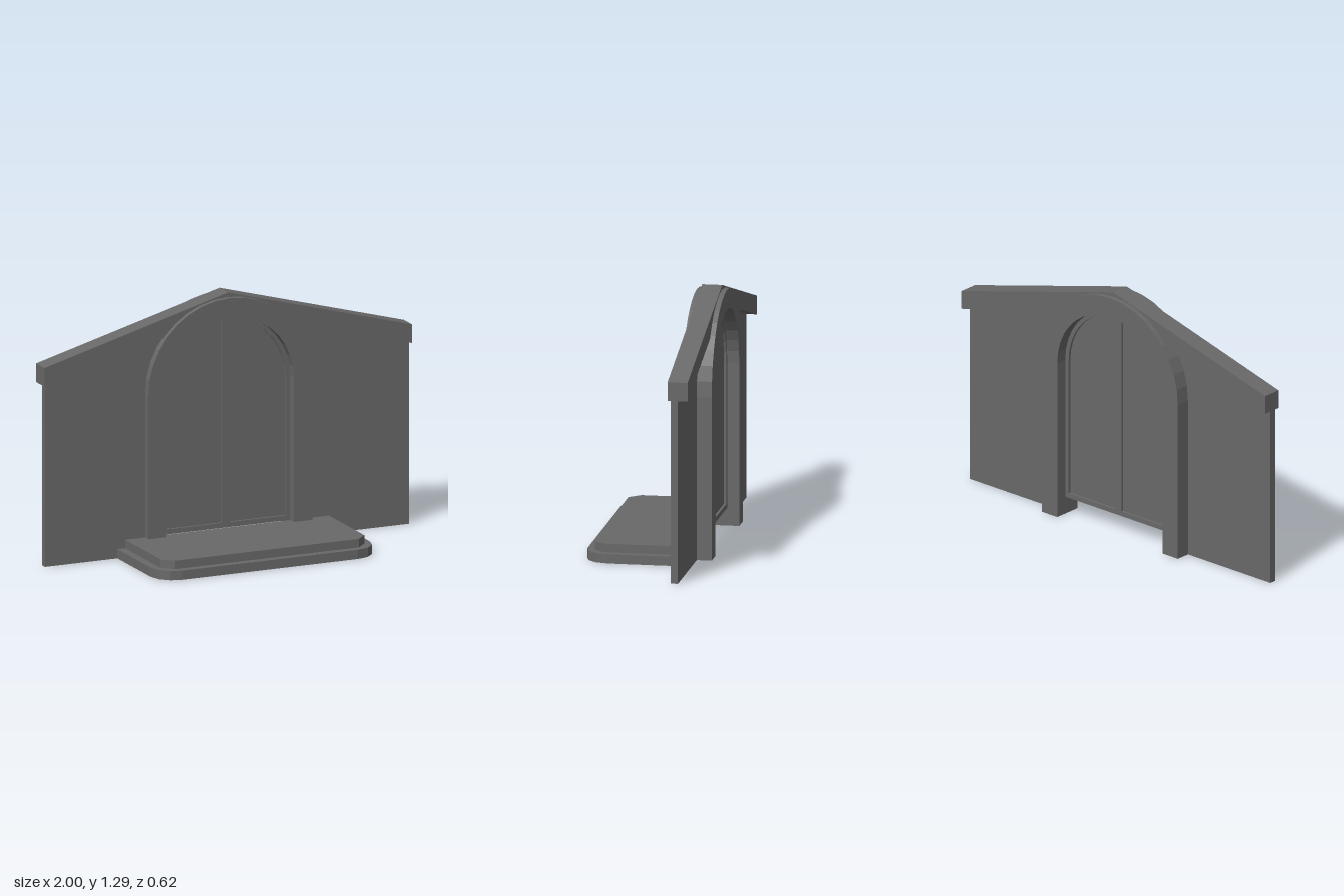
import * as THREE from 'three';

const SPRING = 0.825; // height where the arch starts to curve

// Points of a round-topped outline, from bottom right over the top to bottom left
function archPoints(r, bottom, segments = 18) {
  const pts = [new THREE.Vector2(r, bottom)];
  for (let i = 0; i <= segments; i++) {
    const a = (i / segments) * Math.PI;
    pts.push(new THREE.Vector2(r * Math.cos(a), SPRING + r * Math.sin(a)));
  }
  pts.push(new THREE.Vector2(-r, bottom));
  return pts;
}

// Open band between two outlines that run the same way
const band = (outer, inner) => new THREE.Shape([...outer, ...inner.slice().reverse()]);

// U-shaped step outline, drawn with y as -z so that it can be laid flat
function stepPoints(w, front, r, segments) {
  const pts = [new THREE.Vector2(-w, 0.2)];
  for (const side of [-1, 1]) {
    for (let i = 0; i <= segments; i++) {
      const t = (side < 0 ? i : segments - i) / segments * Math.PI / 2;
      pts.push(new THREE.Vector2(side * (w - r + r * Math.cos(t)), -(front - r + r * Math.sin(t))));
    }
  }
  pts.push(new THREE.Vector2(w, 0.2));
  return pts;
}

export function createModel() {
  const group = new THREE.Group();
  const stone = new THREE.MeshStandardMaterial({ color: 0x696969 });
  stone.name = 'grey stone';

  const add = (name, geometry) => {
    const mesh = new THREE.Mesh(geometry, stone);
    mesh.name = name;
    group.add(mesh);
    return mesh;
  };
  // Upright part between two z values
  const upright = (name, shape, back, front) =>
    add(name, new THREE.ExtrudeGeometry(shape, { depth: front - back, bevelEnabled: false }).translate(0, 0, back));
  // Flat part between two heights
  const flat = (name, shape, low, high) =>
    add(name, new THREE.ExtrudeGeometry(shape, { depth: high - low, bevelEnabled: false })
      .rotateX(-Math.PI / 2).translate(0, low, 0));

  // Gabled wall with an arched opening
  const v = (x, y) => new THREE.Vector2(x, y);
  upright('wall', new THREE.Shape([
    v(0.99, 0), v(0.99, 0.96), v(0, 1.23), v(-0.99, 0.96), v(-0.99, 0),
    ...archPoints(0.4, 0).reverse(),
  ]), -0.235, -0.2);

  // Sloping trim along the gable
  upright('gableTrim', new THREE.Shape([
    v(-1, 0.925), v(0, 1.195), v(1, 0.925), v(1, 1.02), v(0, 1.295), v(-1, 1.02),
  ]), -0.285, -0.185);

  // Arched surround
  upright('archSurround', band(archPoints(0.447, 0), archPoints(0.347, 0)), -0.31, -0.16);

  // Double door: frame, rails and recessed panels
  upright('doorFrame', band(archPoints(0.348, 0.09), archPoints(0.325, 0.09)), -0.25, -0.207);
  upright('doorPanels', new THREE.Shape(archPoints(0.335, 0.09)), -0.238, -0.219);
  add('doorMullion', new THREE.BoxGeometry(0.045, 1.06, 0.043).translate(0, 0.62, -0.2285));
  add('doorBottomRail', new THREE.BoxGeometry(0.68, 0.025, 0.043).translate(0, 0.1025, -0.2285));

  // Hollow two-tier step
  const inner = stepPoints(0.545, 0.262, 0.05, 1);
  flat('lowerStep', band(stepPoints(0.597, 0.31, 0.12, 3), stepPoints(0.547, 0.264, 0.07, 3)), 0, 0.047);
  flat('upperStepRim', band(stepPoints(0.555, 0.27, 0.055, 1), inner), 0.035, 0.09);
  flat('upperStepTop', new THREE.Shape(stepPoints(0.553, 0.268, 0.055, 1)), 0.082, 0.0901);

  return group;
}
